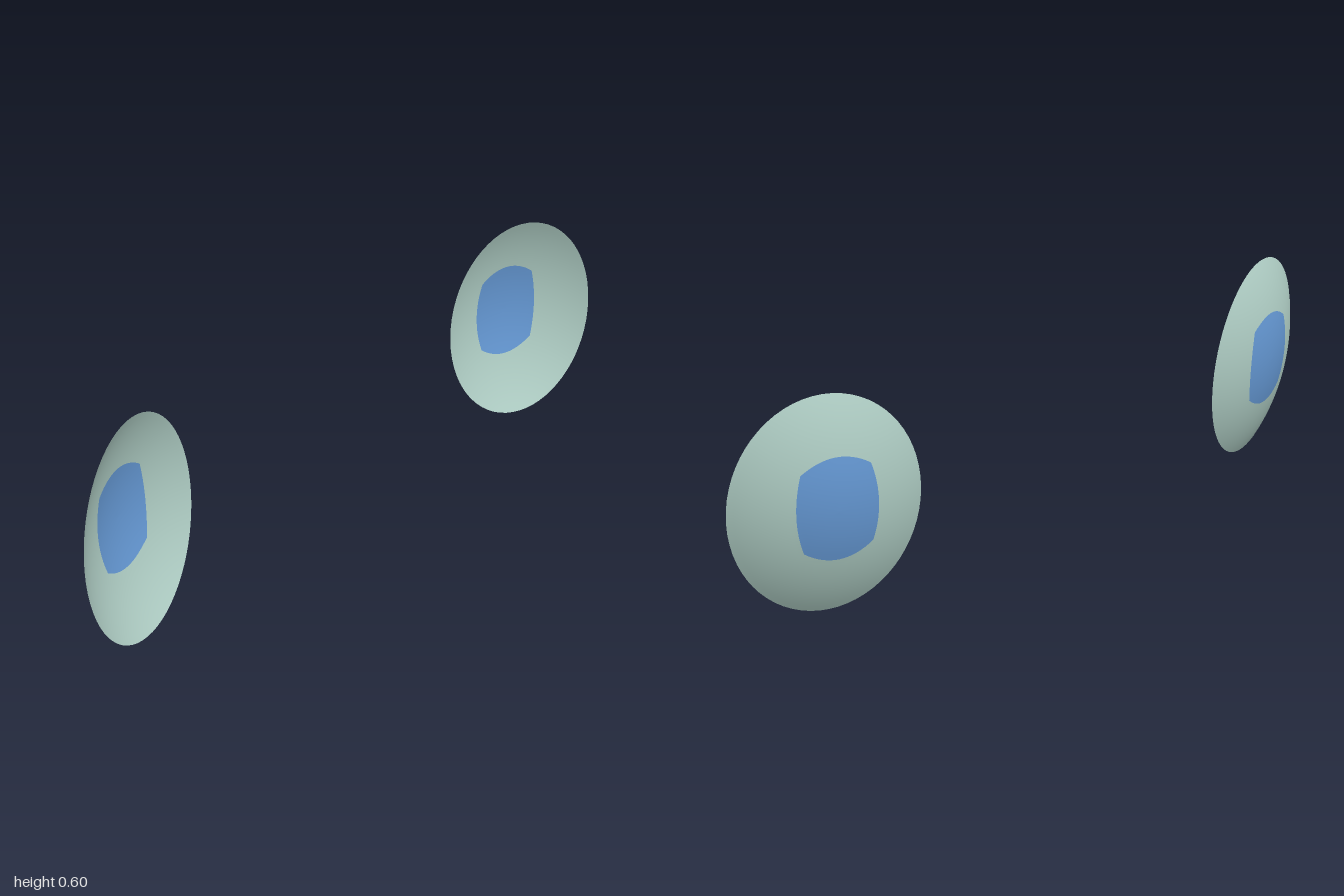
import * as THREE from 'three';

const HALF_W = 0.25, HALF_H = 0.301, DEPTH = 0.07, CAP = 0.5;
const SEGS = 16; // points along each side of the iris
const CENTRE = new THREE.Vector3(0.7613, 0.3, 0.005);
const FACING = new THREE.Vector3(-0.293, 0.06, 0.954).normalize(); // open side of the shell
const ACROSS = new THREE.Vector3(0.954, 0, 0.293).normalize();
const UP = FACING.clone().cross(ACROSS).normalize();
const IRIS = new THREE.Vector2(-0.055, 0.045); // iris centre on the unit disc

// Point of the shallow dome over the unit disc (a, b), bulging backwards
function domePoint(a, b, side) {
  const r = Math.min(1, Math.hypot(a, b));
  const bulge = (Math.sqrt(1 - (r * Math.sin(CAP)) ** 2) - Math.cos(CAP)) / (1 - Math.cos(CAP));
  const p = CENTRE.clone()
    .addScaledVector(ACROSS, a * HALF_W)
    .addScaledVector(UP, b * HALF_H)
    .addScaledVector(FACING, -DEPTH * bulge);
  p.x *= side;
  return p;
}

// Barrel-shaped iris outline: four bowed sides, counter-clockwise
function irisOutline() {
  const pts = [];
  for (let k = 0; k < 4; k++) {
    const sign = k < 2 ? 1 : -1;
    for (let i = 0; i < SEGS; i++) {
      const s = -1 + (2 * i) / SEGS;
      const x = k % 2 === 0 ? 0.425 - 0.065 * s * s : -0.36 * s;
      const y = k % 2 === 0 ? 0.355 * s : 0.465 - 0.11 * s * s;
      pts.push(new THREE.Vector2(x * sign, y * sign).add(IRIS));
    }
  }
  return pts;
}

// Surface between two closed loops on the disc, laid onto the dome
function domeBand(inner, outer, rings, side) {
  const n = inner.length, pos = [], idx = [];
  for (let j = 0; j <= rings; j++) {
    for (let i = 0; i < n; i++) {
      const q = inner[i].clone().lerp(outer[i], j / rings);
      pos.push(...domePoint(q.x, q.y, side).toArray());
    }
  }
  for (let j = 0; j < rings; j++) {
    for (let i = 0; i < n; i++) {
      const a = j * n + i, b = j * n + (i + 1) % n, c = a + n, d = b + n;
      // the bulging back is the front face on both sides
      if (side > 0) idx.push(a, b, c, b, d, c);
      else idx.push(a, c, b, b, c, d);
    }
  }
  const g = new THREE.BufferGeometry();
  g.setAttribute('position', new THREE.Float32BufferAttribute(pos, 3));
  g.setIndex(idx);
  g.computeVertexNormals();
  return g;
}

export function createModel() {
  const model = new THREE.Group();
  model.name = 'eyes';
  const shellMat = new THREE.MeshStandardMaterial({ color: 0xadcbc2, side: THREE.DoubleSide });
  const irisMat = new THREE.MeshStandardMaterial({ color: 0x6497d2, side: THREE.DoubleSide });

  const outline = irisOutline();
  const middle = outline.map(() => IRIS.clone());
  const rim = outline.map((p) => {
    const t = Math.atan2(p.y - IRIS.y, p.x - IRIS.x);
    return new THREE.Vector2(Math.cos(t), Math.sin(t));
  });

  for (const side of [1, -1]) {
    const eye = new THREE.Group();
    eye.name = side > 0 ? 'leftEye' : 'rightEye';
    const shell = new THREE.Mesh(domeBand(outline, rim, 10, side), shellMat);
    shell.name = 'eyeShell';
    const iris = new THREE.Mesh(domeBand(middle, outline, 8, side), irisMat);
    iris.name = 'iris';
    eye.add(shell, iris);
    model.add(eye);
  }
  return model;
}
